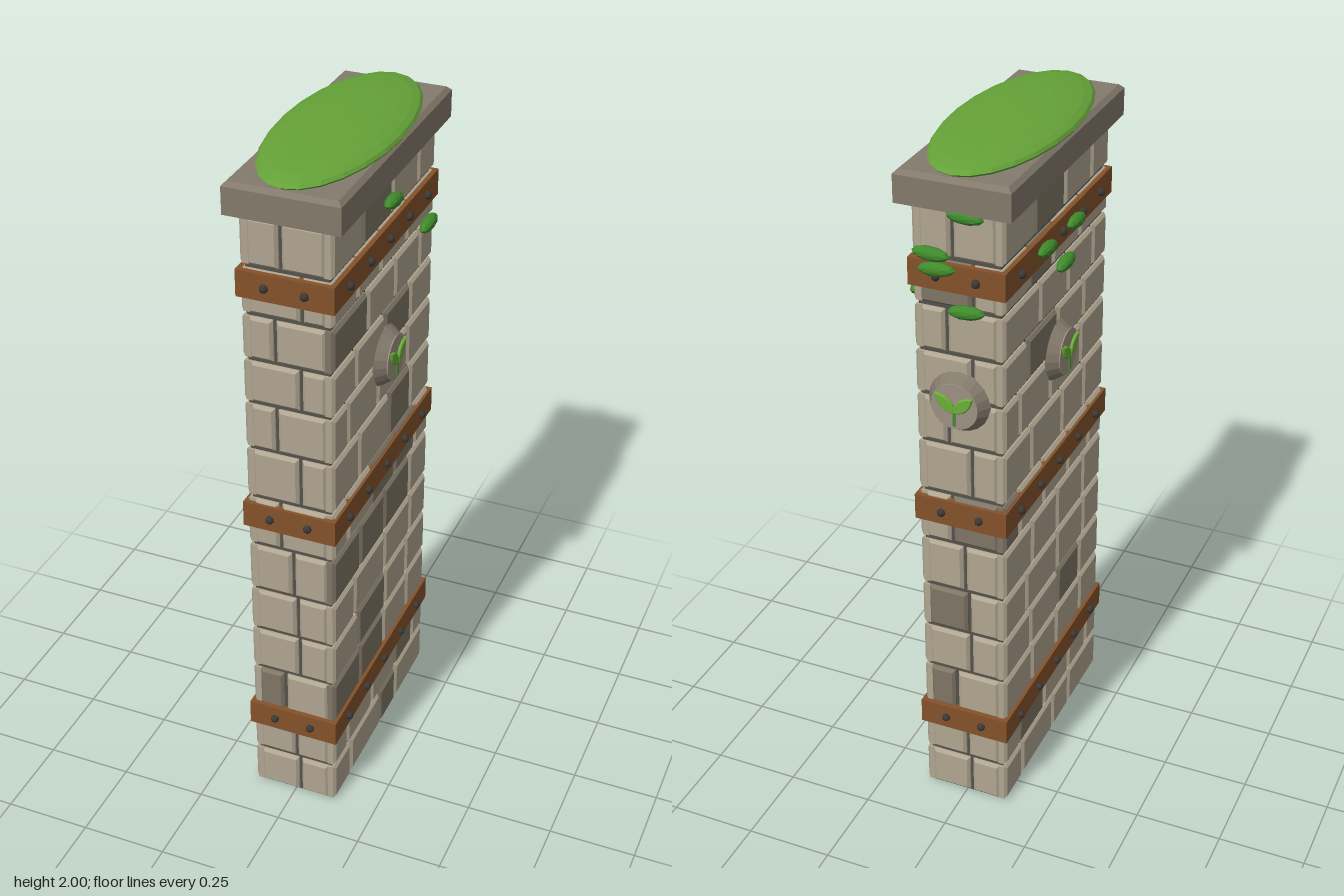
import * as THREE from 'three';
import { mergeGeometries } from 'three/addons/utils/BufferGeometryUtils.js';

const mat = (name, color) => {
  const m = new THREE.MeshStandardMaterial({ color });
  m.name = name;
  return m;
};

// Give every triangle its own flat normal
function facet(geo) {
  const g = geo.index ? geo.toNonIndexed() : geo;
  g.computeVertexNormals();
  return g;
}

// Slab whose outer (+z) face has chamfered edges; back sits on z = 0
function chamferSlab(w, h, d, bevel) {
  const g = new THREE.BoxGeometry(w, h, d, 1, 1, 2);
  const p = g.attributes.position;
  for (let i = 0; i < p.count; i++) {
    const z = p.getZ(i);
    if (z > d * 0.25) {
      p.setX(i, p.getX(i) - Math.sign(p.getX(i)) * bevel);
      p.setY(i, p.getY(i) - Math.sign(p.getY(i)) * bevel);
    } else if (z > -d * 0.25) p.setZ(i, d / 2 - bevel);
  }
  g.translate(0, 0, d / 2);
  return facet(g);
}

// Course heights, and vertical joints per course measured along each wall
const LEVELS = [0, 0.132, 0.3, 0.44, 0.58, 0.722, 0.875, 1.032, 1.188, 1.33, 1.46, 1.592, 1.728, 1.87];
const SIDE_JOINTS = [
  [-0.235, 0, 0.13], [-0.26, -0.07, 0.125, 0.27], [-0.165, 0.02, 0.21], [-0.18, 0.03, 0.2],
  [-0.21, 0.02, 0.225], [-0.17, 0.015, 0.215], [-0.26, -0.09, 0.09, 0.25], [-0.18, 0.04, 0.205],
  [-0.26, -0.05, 0.175], [-0.205, 0, 0.19], [-0.125, 0.07, 0.255], [-0.2, -0.04, 0.15], [-0.165, 0.04, 0.23],
];
const END_JOINTS = [0.016, 0.005, -0.026, 0.02, 0.016, 0.005, -0.03, 0.03, -0.035, 0.035, -0.035, 0.04, -0.016].map((j) => [j]);

const ZC = 0.0125; // body centre in z
const HALF_X = 0.127, HALF_Z = 0.3625;

export function createModel() {
  const model = new THREE.Group();
  model.name = 'stonePillar';
  const M = {
    stone: mat('light stone', 0xb0a590),
    darkStone: mat('dark stone', 0x7f7565),
    mortar: mat('mortar', 0x53524a),
    cap: mat('cap stone', 0x837a6b),
    medal: mat('medallion stone', 0x9c9282),
    band: mat('rust band', 0x85522a),
    rivet: mat('dark iron', 0x3c3a38),
    moss: mat('moss green', 0x65a238),
    leaf: mat('leaf green', 0x3f8a2c),
    sprout: mat('sprout green', 0x6cae3a),
  };
  const add = (parent, name, geo, material, x = 0, y = 0, z = 0) => {
    const m = new THREE.Mesh(geo, material);
    m.name = name;
    m.position.set(x, y, z);
    parent.add(m);
    return m;
  };

  // Mortar core
  add(model, 'mortarCore', new THREE.BoxGeometry(0.228, 1.88, 0.7), M.mortar, 0, 0.94, ZC);

  // Bricks of one wall, split into light and dark stones
  function addBricks(wall, joints, halfW, dark) {
    const sets = { stone: [], darkStone: [] };
    joints.forEach((row, r) => {
      const cuts = [-halfW, ...row, halfW];
      const y0 = LEVELS[r], y1 = LEVELS[r + 1];
      for (let i = 0; i < cuts.length - 1; i++) {
        const g = chamferSlab(cuts[i + 1] - cuts[i] - 0.01, y1 - y0 - 0.012, 0.026, 0.008);
        g.translate((cuts[i] + cuts[i + 1]) / 2, (y0 + y1) / 2, -0.026);
        sets[dark.includes(r * 10 + i) ? 'darkStone' : 'stone'].push(g);
      }
    });
    for (const key in sets) {
      if (sets[key].length) add(wall, key === 'stone' ? 'lightBricks' : 'darkBricks', mergeGeometries(sets[key]), M[key]);
    }
  }

  // Round stone medallion with a two-leaf sprout
  function addMedallion(wall) {
    const g = new THREE.Group();
    g.name = 'medallion';
    g.position.set(0, 1.33, 0);
    wall.add(g);
    const disc = facet(new THREE.CylinderGeometry(0.066, 0.088, 0.032, 20));
    add(g, 'medallionDisc', disc.rotateX(Math.PI / 2), M.cap, 0, 0, 0.014);
    const face = new THREE.CylinderGeometry(0.066, 0.066, 0.004, 20);
    add(g, 'medallionFace', face.rotateX(Math.PI / 2), M.medal, 0, 0, 0.031);
    add(g, 'sproutStem', new THREE.BoxGeometry(0.007, 0.05, 0.007), M.leaf, 0, -0.03, 0.034);
    const s = new THREE.Shape();
    s.moveTo(0, 0);
    s.quadraticCurveTo(0.028, 0.03, 0, 0.07);
    s.quadraticCurveTo(-0.028, 0.03, 0, 0);
    for (const side of [-1, 1]) {
      const geo = new THREE.ExtrudeGeometry(s, {
        depth: 0.004, bevelThickness: 0.003, bevelSize: 0.003, bevelSegments: 1, curveSegments: 6,
      });
      const leaf = add(g, 'sproutLeaf', geo, M.sprout, 0, -0.014, 0.034);
      leaf.rotation.z = -side * 0.82;
    }
  }

  // The four walls, each built facing +z and turned into place
  const walls = [
    { name: 'frontWall', turn: 0, joints: END_JOINTS, dark: [20],
      rivets: [-0.055, 0.055], leaves: [] },
    { name: 'rightWall', turn: Math.PI / 2, joints: SIDE_JOINTS, medal: true,
      dark: [2, 13, 20, 21, 31, 50, 51, 52, 62, 63, 72, 92, 100, 121],
      leaves: [[0.005, 1.79], [0.277, 1.6]] },
    { name: 'backWall', turn: Math.PI, joints: END_JOINTS, dark: [20, 40, 61, 110], medal: true,
      rivets: [-0.055, 0.055], leaves: [[-0.065, 1.745], [-0.05, 1.705], [0.03, 1.86], [0.03, 1.6]] },
    { name: 'leftWall', turn: -Math.PI / 2, joints: SIDE_JOINTS, medal: true,
      dark: [11, 32, 60, 91, 111, 121],
      leaves: [[-0.12, 1.685], [0.01, 1.59], [0.08, 1.68]] },
  ];
  const BANDS = [0.27, 0.978, 1.682];
  const leafGeo = facet(new THREE.IcosahedronGeometry(1, 1)).scale(0.052, 0.019, 0.019);
  const rivetGeo = new THREE.SphereGeometry(0.012, 8, 6);

  for (const w of walls) {
    const isEnd = w.joints === END_JOINTS;
    const wall = new THREE.Group();
    wall.name = w.name;
    const out = isEnd ? HALF_Z : HALF_X;
    wall.position.set(Math.sin(w.turn) * out, 0, ZC + Math.cos(w.turn) * out);
    wall.rotation.y = w.turn;
    model.add(wall);
    addBricks(wall, w.joints, isEnd ? 0.11 : 0.362, w.dark);
    if (w.medal) addMedallion(wall);
    for (const y of BANDS)
      for (const u of w.rivets || [-0.277, -0.1385, 0, 0.1385, 0.277])
        add(wall, 'rivet', rivetGeo, M.rivet, u, y, 0.011);
    w.leaves.forEach(([u, y], i) => {
      const leaf = add(wall, 'leaf', leafGeo, M.leaf, u, y, 0.016);
      leaf.rotation.z = (i % 2 ? 1 : -1) * 0.06;
    });
  }

  // Metal bands
  for (const y of BANDS) add(model, 'band', new THREE.BoxGeometry(0.268, 0.076, 0.742), M.band, 0, y, ZC);

  // Cap slab with chamfered top edges
  const cap = chamferSlab(0.316, 0.774, 0.088, 0.012).rotateX(-Math.PI / 2);
  add(model, 'capSlab', cap, M.cap, 0, 1.87, 0.009);

  // Moss cushion on the cap
  const moss = facet(new THREE.SphereGeometry(1, 24, 12).scale(0.166, 0.032, 0.386));
  add(model, 'mossCushion', moss, M.moss, 0, 1.968, 0.009);

  return model;
}
